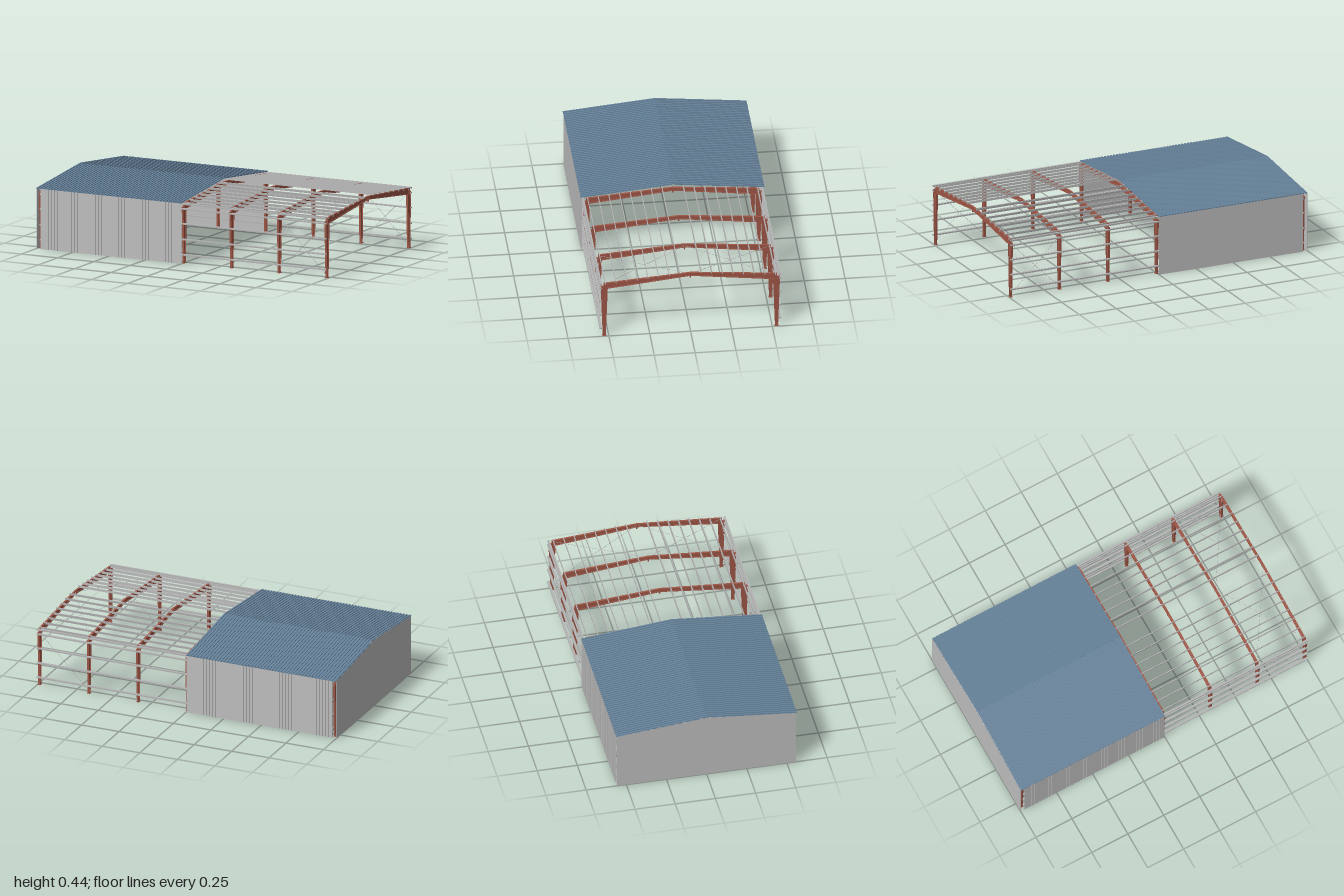
import * as THREE from 'three';

const mat = (name, color) => {
  const m = new THREE.MeshStandardMaterial({ color });
  m.name = name;
  return m;
};

export function createModel() {
  const steel = mat('red primer steel', 0x9e5646);
  const zinc = mat('galvanised steel', 0xb4b4b4);
  const wallGrey = mat('wall sheet grey', 0xbebebe);
  const roofBlue = mat('roof sheet blue', 0x66829a);

  const model = new THREE.Group();
  model.name = 'portalFrameShed';
  const sides = [1, -1];
  const RIDGE = 0.432, SLOPE = 0.1, EAVE_Z = 0.562;
  const roofAngle = Math.atan(SLOPE);
  const roofY = (z) => RIDGE - SLOPE * Math.abs(z);

  const add = (parent, name, geometry, material) => {
    const mesh = new THREE.Mesh(geometry, material);
    mesh.name = name;
    parent.add(mesh);
    return mesh;
  };
  const box = (parent, name, size, pos, material) => {
    const mesh = add(parent, name, new THREE.BoxGeometry(...size), material);
    mesh.position.set(...pos);
    return mesh;
  };
  // Flat plate with an outline in the z-y plane, centred on x = 0
  const plate = (parent, name, points, thickness, material) => {
    const shape = new THREE.Shape(points.map(([z, y]) => new THREE.Vector2(z, y)));
    const g = new THREE.ExtrudeGeometry(shape, { depth: thickness, bevelEnabled: false });
    g.translate(0, 0, -thickness / 2);
    g.rotateY(-Math.PI / 2);
    return add(parent, name, g, material);
  };
  // Flange strip running between two z-y points
  const flange = (parent, name, [z0, y0], [z1, y1], width = 0.013, t = 0.004) => {
    const length = Math.hypot(z1 - z0, y1 - y0);
    const m = box(parent, name, [width, t, length], [0, (y0 + y1) / 2, (z0 + z1) / 2], steel);
    m.rotation.x = -Math.atan2(y1 - y0, z1 - z0);
  };
  // Thin round brace between two points
  const rod = (parent, a, b) => {
    const p = new THREE.Vector3(...a), q = new THREE.Vector3(...b);
    const d = q.clone().sub(p);
    const m = add(parent, 'braceRod', new THREE.CylinderGeometry(0.001, 0.001, d.length(), 6), zinc);
    m.position.copy(p).add(q).multiplyScalar(0.5);
    m.quaternion.setFromUnitVectors(new THREE.Vector3(0, 1, 0), d.normalize());
  };
  // Square-ribbed sheet: ribs stand up in y and run along z
  const ribbedSheet = (width, length, depth, ribs) => {
    const shape = new THREE.Shape();
    const pitch = width / ribs, x0 = -width / 2;
    shape.moveTo(x0, -0.0015);
    shape.lineTo(x0 + width, -0.0015);
    for (let i = ribs - 1; i >= 0; i--) {
      const x = x0 + i * pitch;
      shape.lineTo(x + pitch, 0);
      shape.lineTo(x + pitch * 0.75, 0);
      shape.lineTo(x + pitch * 0.75, depth);
      shape.lineTo(x + pitch * 0.25, depth);
      shape.lineTo(x + pitch * 0.25, 0);
    }
    shape.lineTo(x0, 0);
    return new THREE.ExtrudeGeometry(shape, { depth: length, bevelEnabled: false });
  };

  // Seven tapered I-section portal frames
  const frameX = Array.from({ length: 7 }, (_, i) => -0.98 + i * 0.328);
  for (const x of frameX) {
    const frame = new THREE.Group();
    frame.name = 'portalFrame';
    frame.position.x = x;
    model.add(frame);
    for (const s of sides) {
      const m = (z, y) => [s * z, y];
      const baseOut = m(0.534, 0), baseIn = m(0.52, 0);
      const topOut = m(0.546, 0.35), topIn = m(0.508, 0.337);
      const rafterTop = m(0.527, 0.371), rafterLow = m(0.508, 0.337);
      const ridgeTop = [0, 0.413], ridgeLow = [0, 0.395];
      plate(frame, 'columnWeb', [baseOut, topOut, m(0.527, 0.35), topIn, baseIn], 0.003, steel);
      plate(frame, 'rafterWeb', [rafterTop, ridgeTop, ridgeLow, rafterLow, m(0.527, 0.337)], 0.003, steel);
      flange(frame, 'columnOuterFlange', baseOut, topOut);
      flange(frame, 'columnInnerFlange', baseIn, topIn);
      flange(frame, 'columnCap', m(0.546, 0.35), m(0.525, 0.35));
      flange(frame, 'rafterTopFlange', rafterTop, ridgeTop);
      flange(frame, 'rafterBottomFlange', rafterLow, ridgeLow);
      flange(frame, 'haunchEndPlate', m(0.527, 0.332), m(0.527, 0.373), 0.015, 0.005);
      box(frame, 'basePlate', [0.018, 0.004, 0.024], [0, 0.002, s * 0.527], steel);
    }
    box(frame, 'ridgePlate', [0.013, 0.034, 0.008], [0, 0.397, 0], steel);
  }

  // Purlins, girts and eave struts along the whole length
  for (const s of sides) {
    for (let k = 1; k <= 8; k++) {
      const z = s * 0.065 * k;
      const p = box(model, 'purlin', [1.99, 0.014, 0.005], [0.002, roofY(z) - 0.0095, z], zinc);
      p.rotation.x = s * roofAngle;
    }
    for (const y of [0.055, 0.15, 0.247, 0.34]) {
      box(model, 'girt', [1.975, 0.008, 0.015], [0.0095, y, s * 0.548], zinc);
    }
    box(model, 'eaveStrut', [1.975, 0.01, 0.012], [0.0095, 0.37, s * 0.548], zinc);
  }

  // Crossed rods in the walls and roof of the open end bay
  const [xa, xb] = [frameX[5], frameX[6]];
  for (const s of sides) {
    for (const [x0, x1] of [[xa, xb], [xb, xa]]) {
      rod(model, [x0, 0.015, s * 0.53], [x1, 0.345, s * 0.53]);
      rod(model, [x0, 0.365, s * 0.52], [x1, 0.405, 0]);
    }
  }

  // Ribbed roof and long walls over the clad half
  for (const s of sides) {
    const roof = add(model, 'roofSheet', ribbedSheet(1, EAVE_Z / Math.cos(roofAngle), 0.004, 50), roofBlue);
    roof.position.set(-0.5, RIDGE, 0);
    roof.rotation.set(s * roofAngle, s > 0 ? 0 : Math.PI, 0);

    const wall = add(model, 'longWall', ribbedSheet(0.972, 0.376, 0.003, 48), wallGrey);
    wall.position.set(-0.486, s > 0 ? 0.376 : 0, s * 0.5565);
    wall.rotation.x = s * Math.PI / 2;
  }

  // Gable end wall
  const e = 0.557;
  const gable = plate(model, 'gableWall',
    [[-e, 0], [e, 0], [e, roofY(e)], [0, RIDGE], [-e, roofY(e)]], 0.004, wallGrey);
  gable.position.x = -0.998;

  return model;
}
